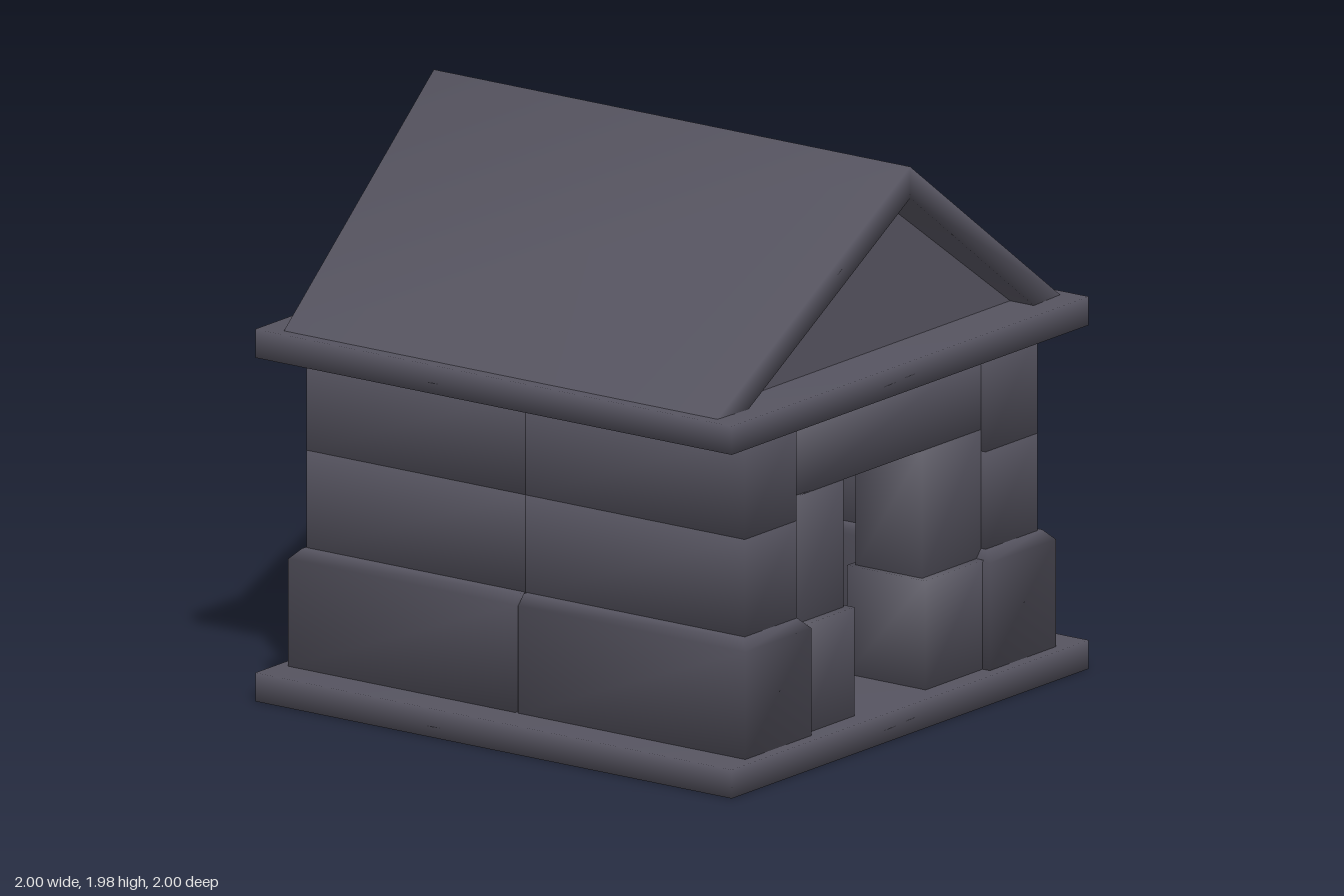
import * as THREE from 'three';
import { mergeVertices } from 'three/addons/utils/BufferGeometryUtils.js';

const stone = new THREE.MeshStandardMaterial({ color: 0x55535f });
stone.name = 'dark stone';

// Share corners so the shading rolls softly over the edges
function soften(geo) {
  geo.deleteAttribute('normal');
  geo.deleteAttribute('uv');
  const merged = mergeVertices(geo, 1e-4);
  merged.computeVertexNormals();
  return merged;
}

// Block between two corners; chamfer insets the top edge on [x0, x1, z0, z1]
function block(name, [x0, x1], [y0, y1], [z0, z1], chamfer = [0, 0, 0, 0]) {
  const drop = Math.max(...chamfer);
  const geo = new THREE.BoxGeometry(1, 1, 1, 1, drop ? 2 : 1, 1);
  const p = geo.attributes.position;
  for (let i = 0; i < p.count; i++) {
    const px = p.getX(i), py = p.getY(i), pz = p.getZ(i);
    const c = py > 0.4 ? chamfer : [0, 0, 0, 0];
    const x = px < 0 ? x0 + c[0] : x1 - c[1];
    const z = pz < 0 ? z0 + c[2] : z1 - c[3];
    const y = py > 0.4 ? y1 : py < -0.4 ? y0 : y1 - drop;
    p.setXYZ(i, x, y, z);
  }
  const mesh = new THREE.Mesh(soften(geo), stone);
  mesh.name = name;
  return mesh;
}

// Folded roof shell whose end edges lean outward toward the ridge
function roofShell() {
  const geo = new THREE.BoxGeometry(1, 1, 1, 1, 1, 2);
  const p = geo.attributes.position;
  for (let i = 0; i < p.count; i++) {
    const t = Math.abs(p.getZ(i)) * 2, side = Math.sign(p.getZ(i));
    const outer = p.getY(i) > 0;
    p.setXYZ(i,
      Math.sign(p.getX(i)) * (1 - (outer ? 0.09 : 0.08) * t),
      outer ? 1.98 - 0.68 * t : 1.87 - 0.57 * t,
      side * t * (outer ? 0.96 : 0.8));
  }
  const mesh = new THREE.Mesh(soften(geo), stone);
  mesh.name = 'roof';
  return mesh;
}

// Recessed triangular wall filling both ends under the roof
function gable() {
  const shape = new THREE.Shape([
    new THREE.Vector2(-0.82, 1.3), new THREE.Vector2(0.82, 1.3), new THREE.Vector2(0, 1.885),
  ]);
  const geo = new THREE.ExtrudeGeometry(shape, { depth: 1.64, bevelEnabled: false });
  geo.translate(0, 0, -0.82).rotateY(Math.PI / 2);
  const mesh = new THREE.Mesh(geo, stone);
  mesh.name = 'gable';
  return mesh;
}

export function createModel() {
  const hut = new THREE.Group();
  hut.name = 'stoneHut';

  // Floor and eave slabs, roof
  hut.add(block('floorSlab', [-1, 1], [0, 0.1], [-1, 1]));
  hut.add(block('eaveSlab', [-1, 1], [1.2, 1.3], [-1, 1]));
  hut.add(roofShell(), gable());

  // Long walls: two blocks per course, mirrored front to back
  for (const s of [1, -1]) {
    const wall = new THREE.Group();
    wall.name = s > 0 ? 'frontWall' : 'backWall';
    const low = s > 0 ? [0.5, 0.87] : [-0.87, -0.5];
    const high = s > 0 ? [0.53, 0.82] : [-0.82, -0.53];
    wall.add(block('baseBlock', [0.006, 0.96], [0.1, 0.51], low, [0, 0.035, 0.03, 0.03]));
    wall.add(block('baseBlock', [-0.96, -0.006], [0.1, 0.51], low, [0.035, 0, 0.03, 0.03]));
    for (const x of [[0, 0.92], [-0.92, 0]]) {
      wall.add(block('middleBlock', x, [0.5, 0.85], high));
      wall.add(block('upperBlock', x, [0.85, 1.2], high));
    }
    hut.add(wall);
  }

  // Closed end wall with a crooked gap between its upper courses
  const end = new THREE.Group();
  end.name = 'closedEndWall';
  for (const [z, seam, next] of [[[0, 0.53], 0.82, 0.86], [[-0.53, 0], 0.86, 0.89]]) {
    end.add(block('baseBlock', [-0.94, -0.6], [0.1, 0.48], z));
    end.add(block('middleBlock', [-0.91, -0.62], [0.48, seam], z));
    end.add(block('upperBlock', [-0.91, -0.62], [next, 1.2], z));
  }
  hut.add(end);

  // Doorway wall: base blocks, jambs and lintel
  const door = new THREE.Group();
  door.name = 'doorwayWall';
  door.add(block('doorBase', [0.6, 0.93], [0.1, 0.48], [0.22, 0.51]));
  door.add(block('doorBase', [0.6, 0.93], [0.1, 0.48], [-0.51, -0.18]));
  door.add(block('doorJamb', [0.62, 0.9], [0.47, 0.93], [0.24, 0.53]));
  door.add(block('doorJamb', [0.62, 0.9], [0.47, 0.93], [-0.53, -0.2]));
  door.add(block('doorLintel', [0.62, 0.9], [0.925, 1.2], [-0.53, 0.53]));
  hut.add(door);

  return hut;
}
